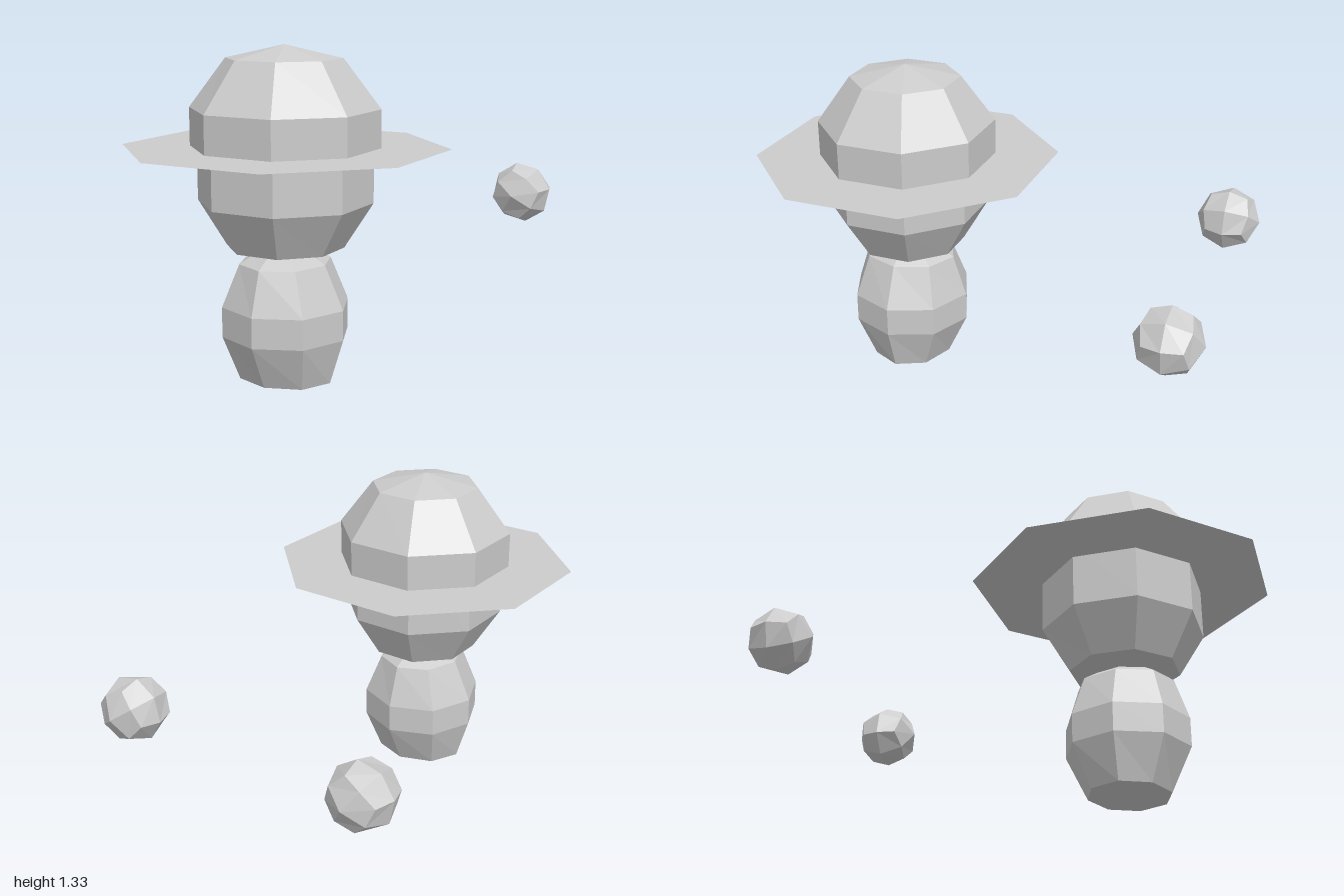
import * as THREE from 'three';

const material = new THREE.MeshStandardMaterial({ color: 0xcccccc, flatShading: true, side: THREE.DoubleSide });

const CX = 0.038, CZ = 0.415; // vertical axis of the figure

function addMesh(parent, name, geometry) {
  const mesh = new THREE.Mesh(geometry, material);
  mesh.name = name;
  parent.add(mesh);
  return mesh;
}

// Eight-sided turned solid from rings of [height, x radius, z radius]
function octagonSolid(rings, turn) {
  const profile = rings.map(([y, r]) => new THREE.Vector2(r, y));
  const geometry = new THREE.LatheGeometry(profile, 8, turn);
  const pos = geometry.attributes.position;
  for (let i = 0; i < pos.count; i++) {
    const [, rx, rz] = rings[i % rings.length];
    if (rx > 0) pos.setZ(i, pos.getZ(i) * rz / rx);
  }
  return geometry;
}

// Low-poly ball: a subdivided cube pushed out to a sphere
function quadBall(radius) {
  const geometry = new THREE.BoxGeometry(1, 1, 1, 2, 2, 2);
  const pos = geometry.attributes.position;
  const v = new THREE.Vector3();
  for (let i = 0; i < pos.count; i++) {
    v.fromBufferAttribute(pos, i).setLength(radius);
    pos.setXYZ(i, v.x, v.y, v.z);
  }
  return geometry;
}

export function createModel() {
  const model = new THREE.Group();
  model.name = 'hattedFigure';

  const figure = new THREE.Group();
  figure.name = 'figure';
  figure.position.set(CX, 0, CZ);
  model.add(figure);

  // Barrel-shaped body, corners on the axes
  addMesh(figure, 'body', octagonSolid([
    [0, 0, 0],
    [0.008, 0.2, 0.17],
    [0.19, 0.258, 0.257],
    [0.31, 0.258, 0.257],
    [0.482, 0.178, 0.2],
    [0.517, 0.12, 0.14],
    [0.525, 0, 0],
  ], 0));

  // Head, flats facing the axes, its top hidden in the hat
  addMesh(figure, 'head', octagonSolid([
    [0.49, 0, 0],
    [0.54, 0.233, 0.231],
    [0.72, 0.348, 0.34],
    [1.0, 0.348, 0.34],
    [1.2, 0.233, 0.23],
    [1.24, 0, 0],
  ], Math.PI / 8));

  // Hat crown
  const hat = new THREE.Group();
  hat.name = 'hat';
  figure.add(hat);
  addMesh(hat, 'hatCrown', octagonSolid([
    [0.935, 0.376, 0.368],
    [1.085, 0.376, 0.368],
    [1.278, 0.229, 0.229],
    [1.33, 0, 0],
  ], Math.PI / 8));

  // Thin flat brim
  const brim = new THREE.RingGeometry(0.346, 0.647, 8, 1, Math.PI / 8);
  brim.rotateX(-Math.PI / 2);
  brim.scale(1, 1, 0.98);
  addMesh(hat, 'hatBrim', brim).position.y = 0.935;

  // Two floating balls behind
  for (const side of [-1, 1]) {
    const ball = addMesh(model, side > 0 ? 'leftBall' : 'rightBall', quadBall(0.137));
    ball.position.set(side * 0.555, 0.592, side > 0 ? -0.865 : -0.852);
    ball.rotation.z = -side * 0.61;
  }

  return model;
}
